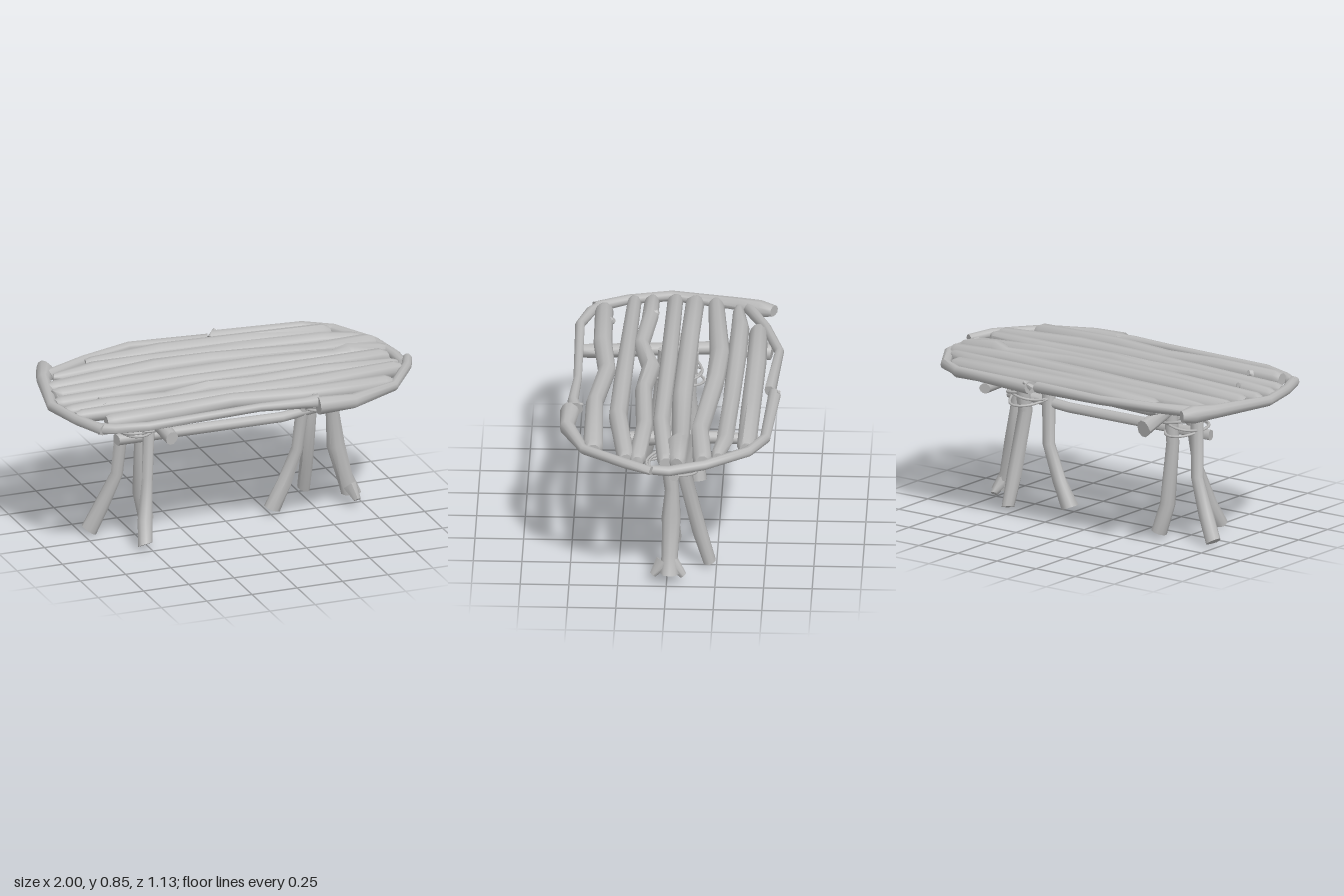
import * as THREE from 'three';
import { toCreasedNormals } from 'three/addons/utils/BufferGeometryUtils.js';

const wood = new THREE.MeshStandardMaterial({ color: 0xb8b8b8 });
wood.name = 'grey wood';

let seed = 7;
const rand = () => (seed = (seed * 16807) % 2147483647) / 2147483647 - 0.5;

// Rough branch: lofted rings through [x, y, z, radius] points, with uneven cut ends
function branch(name, pts, rough = 0.16, sides = 10) {
  const P = pts.map((p) => new THREE.Vector3(p[0], p[1], p[2]));
  const n = P.length, pos = [], idx = [];
  const whole = P[n - 1].clone().sub(P[0]);
  const ref = Math.abs(whole.y) > 0.5 * whole.length() ? new THREE.Vector3(0, 0, 1) : new THREE.Vector3(0, 1, 0);
  P.forEach((c, i) => {
    const t = P[Math.min(i + 1, n - 1)].clone().sub(P[Math.max(i - 1, 0)]).normalize();
    const u = new THREE.Vector3().crossVectors(ref, t).normalize();
    const v = new THREE.Vector3().crossVectors(t, u);
    const end = i === 0 || i === n - 1;
    const tilt = end ? rand() * 0.8 : 0;
    for (let j = 0; j < sides; j++) {
      const a = (j / sides) * Math.PI * 2, r = pts[i][3] * (1 + rand() * rough);
      const q = c.clone().addScaledVector(u, Math.cos(a) * r).addScaledVector(v, Math.sin(a) * r);
      q.addScaledVector(t, Math.cos(a) * r * tilt);
      pos.push(q.x, Math.max(q.y, 0), q.z);
    }
  });
  for (let i = 0; i < n - 1; i++) {
    for (let j = 0; j < sides; j++) {
      const k = (j + 1) % sides, a = i * sides + j, b = i * sides + k;
      idx.push(a, b, b + sides, a, b + sides, a + sides);
    }
  }
  // End caps
  const s = n * sides, last = (n - 1) * sides;
  pos.push(...P[0].toArray(), ...P[n - 1].toArray());
  for (let j = 0; j < sides; j++) {
    const k = (j + 1) % sides;
    idx.push(s, k, j, s + 1, last + j, last + k);
  }
  const g = new THREE.BufferGeometry();
  g.setAttribute('position', new THREE.Float32BufferAttribute(pos, 3));
  g.setIndex(idx);
  const mesh = new THREE.Mesh(toCreasedNormals(g, 0.9), wood);
  mesh.name = name;
  return mesh;
}

// Tabletop slats: [x, z, radius] along each one
const slats = [
  [[-0.57, -0.43, 0.046], [-0.2, -0.43, 0.05], [0.3, -0.42, 0.051], [0.69, -0.41, 0.05]],
  [[-0.79, -0.32, 0.028], [-0.6, -0.335, 0.045], [-0.3, -0.33, 0.049], [0.2, -0.315, 0.046], [0.65, -0.295, 0.043], [0.8, -0.265, 0.036]],
  [[-0.87, -0.2, 0.04], [-0.3, -0.24, 0.053], [0, -0.225, 0.05], [0.55, -0.165, 0.045], [0.85, -0.19, 0.054]],
  [[-0.88, -0.09, 0.05], [-0.5, -0.08, 0.048], [0.2, -0.065, 0.05], [0.62, -0.07, 0.042], [0.7, -0.06, 0.056], [0.87, -0.06, 0.044]],
  [[-0.91, 0.01, 0.04], [-0.2, 0.02, 0.046], [0.47, 0.035, 0.042], [0.85, 0, 0.041]],
  [[-0.9, 0.13, 0.037], [-0.7, 0.135, 0.044], [-0.4, 0.165, 0.04], [-0.15, 0.11, 0.047], [0.1, 0.14, 0.043], [0.5, 0.12, 0.042], [0.85, 0.145, 0.044]],
  [[-0.88, 0.22, 0.036], [0, 0.25, 0.046], [0.4, 0.26, 0.05], [0.84, 0.205, 0.044]],
  [[-0.77, 0.37, 0.045], [-0.4, 0.365, 0.047], [-0.1, 0.335, 0.046], [0.25, 0.385, 0.046], [0.73, 0.375, 0.05]],
];

// Slat with gently crowned height and worn, narrowed ends
function slat(name, pts) {
  const rings = pts.map(([x, z, r]) => [x, 0.787 + 0.01 * (1 - x * x) + rand() * 0.012, z, r]);
  const worn = ([x, y, z, r], dx) => [x + dx, y, z, r * 0.72];
  return branch(name, [worn(rings[0], -0.035), ...rings, worn(rings[rings.length - 1], 0.035)]);
}

// Bent rim branches: [x, y, z, radius]
const rim = {
  rimBackLeft: [[-0.84, 0.79, -0.37, 0.03], [-0.6, 0.8, -0.47, 0.026], [-0.32, 0.81, -0.545, 0.025], [0.1, 0.8, -0.51, 0.03]],
  rimBackRight: [[0.13, 0.8, -0.535, 0.034], [0.62, 0.8, -0.505, 0.027], [0.76, 0.795, -0.42, 0.027],
    [0.9, 0.785, -0.2, 0.028], [0.945, 0.77, -0.02, 0.028], [0.94, 0.775, 0.1, 0.022]],
  rimLeft: [[-0.81, 0.79, -0.5, 0.03], [-0.83, 0.79, -0.43, 0.046], [-0.88, 0.79, -0.32, 0.034], [-0.97, 0.785, 0.03, 0.028],
    [-0.92, 0.785, 0.25, 0.026], [-0.84, 0.78, 0.42, 0.03]],
  rimFrontLeft: [[-0.86, 0.78, 0.39, 0.03], [-0.78, 0.785, 0.44, 0.027], [-0.62, 0.795, 0.49, 0.025], [0, 0.805, 0.48, 0.022],
    [0.24, 0.8, 0.495, 0.028], [0.32, 0.795, 0.48, 0.036]],
  rimFrontRight: [[0.31, 0.78, 0.51, 0.05], [0.5, 0.782, 0.518, 0.038], [0.76, 0.79, 0.42, 0.028], [0.92, 0.795, 0.2, 0.026], [0.975, 0.785, 0.07, 0.024]],
};

// Low knots and broken twigs on slats and rim: root and tip
const twigs = [
  [[-0.72, 0.79, 0.15, 0.04], [-0.73, 0.815, 0.09, 0.014]], [[-0.66, 0.79, 0.37, 0.045], [-0.63, 0.815, 0.315, 0.014]],
  [[0.3, 0.8, 0.48, 0.02], [0.31, 0.82, 0.445, 0.007]], [[0.13, 0.8, -0.53, 0.02], [0.16, 0.83, -0.56, 0.008]],
];

// Legs, foot to top
const legs = {
  leftOuterLeg: [[-0.715, 0.02, -0.1, 0.042], [-0.655, 0.15, -0.08, 0.039], [-0.58, 0.33, -0.055, 0.032], [-0.55, 0.76, -0.02, 0.036]],
  leftFrontLeg: [[-0.525, 0.025, 0.21, 0.037], [-0.505, 0.13, 0.15, 0.04], [-0.47, 0.34, 0.095, 0.028], [-0.44, 0.75, 0.05, 0.032]],
  leftBackLeg: [[-0.39, 0.025, -0.13, 0.04], [-0.43, 0.18, -0.11, 0.038], [-0.44, 0.5, -0.08, 0.034], [-0.43, 0.75, -0.09, 0.037]],
  rightInnerLeg: [[0.262, 0.025, -0.02, 0.042], [0.33, 0.16, -0.02, 0.036], [0.4, 0.34, -0.015, 0.03], [0.435, 0.76, 0.03, 0.038]],
  rightBackLeg: [[0.515, 0.03, -0.215, 0.033], [0.51, 0.2, -0.165, 0.037], [0.5, 0.52, -0.085, 0.036], [0.5, 0.76, -0.14, 0.04]],
  rightOuterLeg: [[0.7, 0.055, -0.015, 0.05], [0.665, 0.14, -0.015, 0.042], [0.615, 0.33, -0.02, 0.049], [0.6, 0.5, -0.025, 0.036], [0.585, 0.76, 0.01, 0.042]],
};

// Wire lashing loop around a leg cluster
class LoopCurve extends THREE.Curve {
  constructor(x, y, phase) { super(); Object.assign(this, { x, y, phase }); }
  getPoint(t, target = new THREE.Vector3()) {
    const a = t * Math.PI * 2;
    const r = 1 + 0.07 * Math.sin(3 * a + this.phase);
    return target.set(this.x + Math.cos(a) * 0.105 * r, this.y + 0.02 * Math.sin(a + this.phase), -0.02 + Math.sin(a) * 0.125 * r);
  }
}

export function createModel() {
  const table = new THREE.Group();
  table.name = 'branchTable';
  const sub = (name) => {
    const g = new THREE.Group();
    g.name = name;
    table.add(g);
    return g;
  };

  const top = sub('tabletop');
  slats.forEach((pts, i) => top.add(slat('slat' + (i + 1), pts)));
  for (const name in rim) top.add(branch(name, rim[name]));
  twigs.forEach((t) => top.add(branch('twigStub', t, 0.3, 7)));

  const base = sub('base');
  for (const name in legs) base.add(branch(name, legs[name]));
  // Forked prongs of the right outer foot
  [0.068, -0.085].forEach((z) => base.add(branch('footProng', [[0.68, 0.11, z * 0.3, 0.036], [0.7, 0.042, z, 0.018]], 0.2, 8)));
  // Beams under the top and the long stretcher
  base.add(branch('leftBeam', [[-0.49, 0.71, 0.49, 0.034], [-0.49, 0.712, 0.4, 0.038], [-0.49, 0.725, 0.1, 0.034],
    [-0.515, 0.725, -0.2, 0.034], [-0.565, 0.685, -0.5, 0.045]]));
  base.add(branch('rightBeam', [[0.5, 0.72, 0.24, 0.037], [0.485, 0.73, -0.25, 0.033], [0.48, 0.72, -0.46, 0.028]]));
  base.add(branch('stretcher', [[-0.61, 0.545, 0.02, 0.029], [0.3, 0.54, 0.025, 0.026], [0.5, 0.56, 0.01, 0.027], [0.635, 0.575, -0.035, 0.024]]));

  const lashings = sub('lashings');
  [-0.48, 0.515].forEach((x) => [0.575, 0.595, 0.615].forEach((y, i) => {
    const wire = new THREE.Mesh(new THREE.TubeGeometry(new LoopCurve(x, y, i * 2.1), 28, 0.007, 6, true), wood);
    wire.name = 'lashingLoop';
    lashings.add(wire);
  }));
  return table;
}
